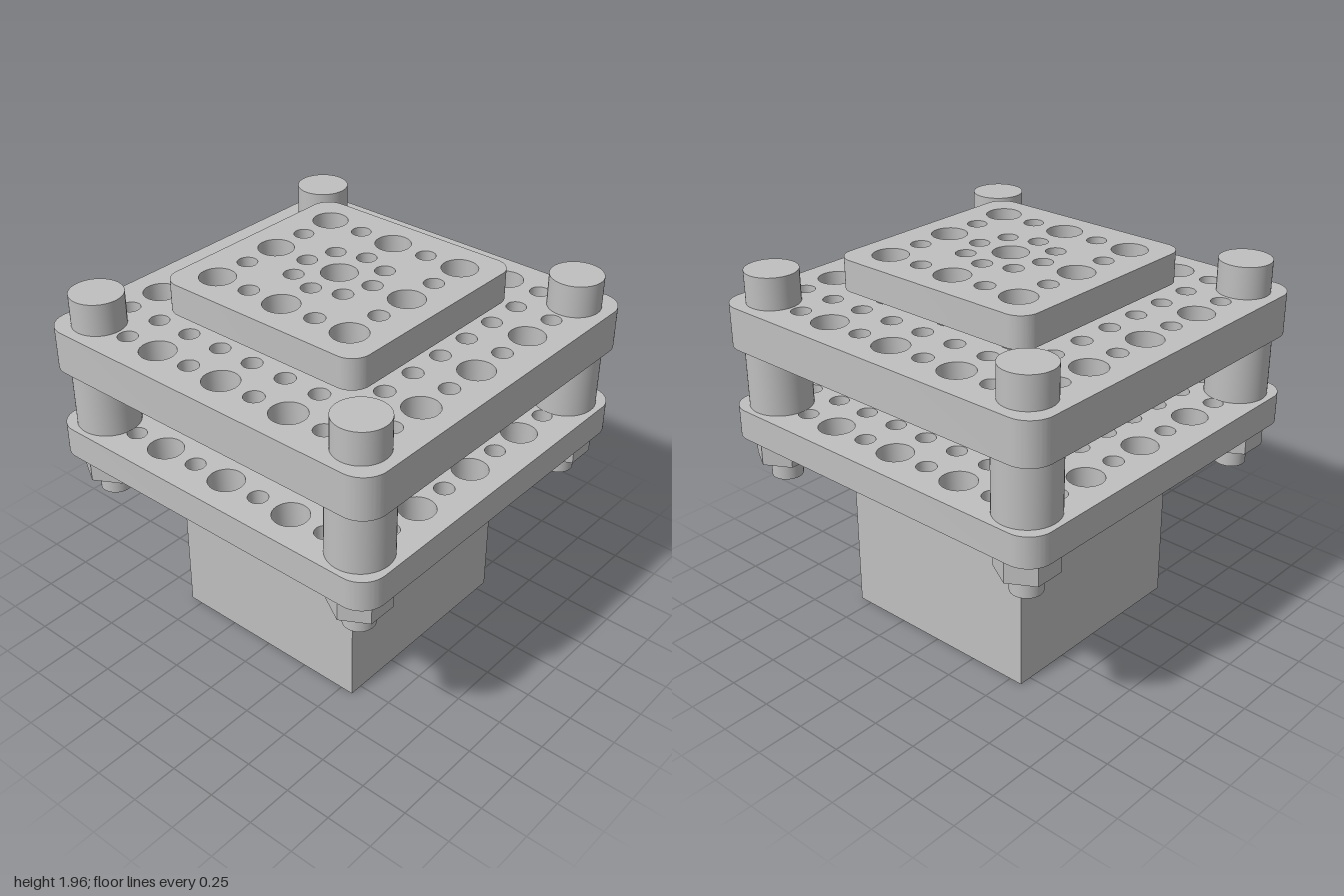
import * as THREE from 'three';
import { toCreasedNormals } from 'three/addons/utils/BufferGeometryUtils.js';

const PITCH = 0.203;
const BIG = 0.09;
const SMALL = 0.05;
const POST = 0.81;
const SCREW = 0.153;
const MOUNT = 0.415;

export function createModel() {
  const model = new THREE.Group();
  model.name = 'stirrerStand';
  const grey = new THREE.MeshStandardMaterial({ color: 0xbfbfbf });
  grey.name = 'grey';
  const greyOpen = grey.clone();
  greyOpen.side = THREE.DoubleSide;

  const add = (name, geometry, material = grey, parent = model) => {
    const mesh = new THREE.Mesh(geometry, material);
    mesh.name = name;
    parent.add(mesh);
    return mesh;
  };

  // upright cylinder between two heights
  const rod = (name, r, y0, y1, parent = model, sides = 48) => {
    const mesh = add(name, new THREE.CylinderGeometry(r, r, y1 - y0, sides), grey, parent);
    mesh.position.y = (y0 + y1) / 2;
    return mesh;
  };

  const roundedSquare = (h, r) => {
    const s = new THREE.Shape();
    s.absarc(h - r, h - r, r, 0, Math.PI / 2);
    s.absarc(r - h, h - r, r, Math.PI / 2, Math.PI);
    s.absarc(r - h, r - h, r, Math.PI, Math.PI * 1.5);
    s.absarc(h - r, r - h, r, Math.PI * 1.5, Math.PI * 2);
    s.closePath();
    return s;
  };

  // horizontal plate with round holes given as [x, z, radius]
  const plate = (name, shape, holes, y0, y1) => {
    for (const [x, z, r] of holes) {
      const path = new THREE.Path();
      path.absarc(x, z, r, 0, Math.PI * 2, true);
      shape.holes.push(path);
    }
    const geometry = new THREE.ExtrudeGeometry(shape, {
      depth: y1 - y0, bevelEnabled: false, curveSegments: 14,
    });
    geometry.rotateX(-Math.PI / 2);
    geometry.translate(0, y0, 0);
    return add(name, toCreasedNormals(geometry, 0.6));
  };

  // alternating large and small holes on a square grid
  const holeGrid = (n, skip) => {
    const holes = [];
    for (let i = -n; i <= n; i++) {
      for (let j = -n; j <= n; j++) {
        if (skip(Math.abs(i), Math.abs(j))) continue;
        holes.push([i * PITCH, j * PITCH, i % 2 === 0 && j % 2 === 0 ? BIG : SMALL]);
      }
    }
    return holes;
  };

  const corners = (d) => [[d, d], [-d, d], [-d, -d], [d, -d]];

  // motor body
  add('motorBody', new THREE.BoxGeometry(1.14, 1.03, 1.14)).position.y = 0.515;

  // lower plate, with countersunk motor mounting holes
  const lowerHoles = holeGrid(4, (i, j) =>
    (i === 4 && j === 4) || (i === 2 && j === 2) || (i === 0 && j === 0));
  for (const [x, z] of corners(MOUNT)) lowerHoles.push([x, z, 0.1]);
  plate('lowerPlate', roundedSquare(1, 0.13), lowerHoles, 1.03, 1.19);
  for (const [x, z] of corners(MOUNT)) {
    const cone = add('countersink',
      new THREE.CylinderGeometry(0.1, 0.048, 0.16, 32, 1, true), greyOpen);
    cone.position.set(x, 1.11, z);
  }

  // upper plate
  plate('upperPlate', roundedSquare(1, 0.13),
    holeGrid(4, (i, j) => (i === 4 && j === 4) || (i === 0 && j === 0)), 1.515, 1.735);

  // drive shaft and coupling
  rod('shaft', 0.067, 1.19, 1.25);
  rod('coupling', 0.135, 1.25, 1.515);

  // turntable flange and its perforated top
  const disc = new THREE.Shape();
  disc.absarc(0, 0, 0.393, 0, Math.PI * 2);
  plate('flange', disc,
    [[0, 0, 0.067], ...corners(SCREW).map(([x, z]) => [x, z, 0.042])], 1.735, 1.795);
  const topHoles = holeGrid(2, (i, j) => i === 1 && j === 1);
  for (const [x, z] of corners(SCREW)) topHoles.push([x, z, SMALL]);
  plate('topPlate', roundedSquare(0.593, 0.1), topHoles, 1.795, 1.955);

  // corner bolts with spacers and nuts
  for (const [x, z] of corners(POST)) {
    const bolt = new THREE.Group();
    bolt.name = 'cornerBolt';
    bolt.position.set(x, 0, z);
    rod('boltHead', 0.134, 1.735, 1.9, bolt);
    rod('spacer', 0.16, 1.19, 1.515, bolt);
    const nut = rod('nut', 0.155, 0.895, 1.03, bolt, 6);
    nut.geometry = toCreasedNormals(nut.geometry.rotateY(Math.PI / 2).toNonIndexed(), 0.3);
    rod('boltTip', 0.08, 0.79, 0.9, bolt);
    model.add(bolt);
  }

  return model;
}
